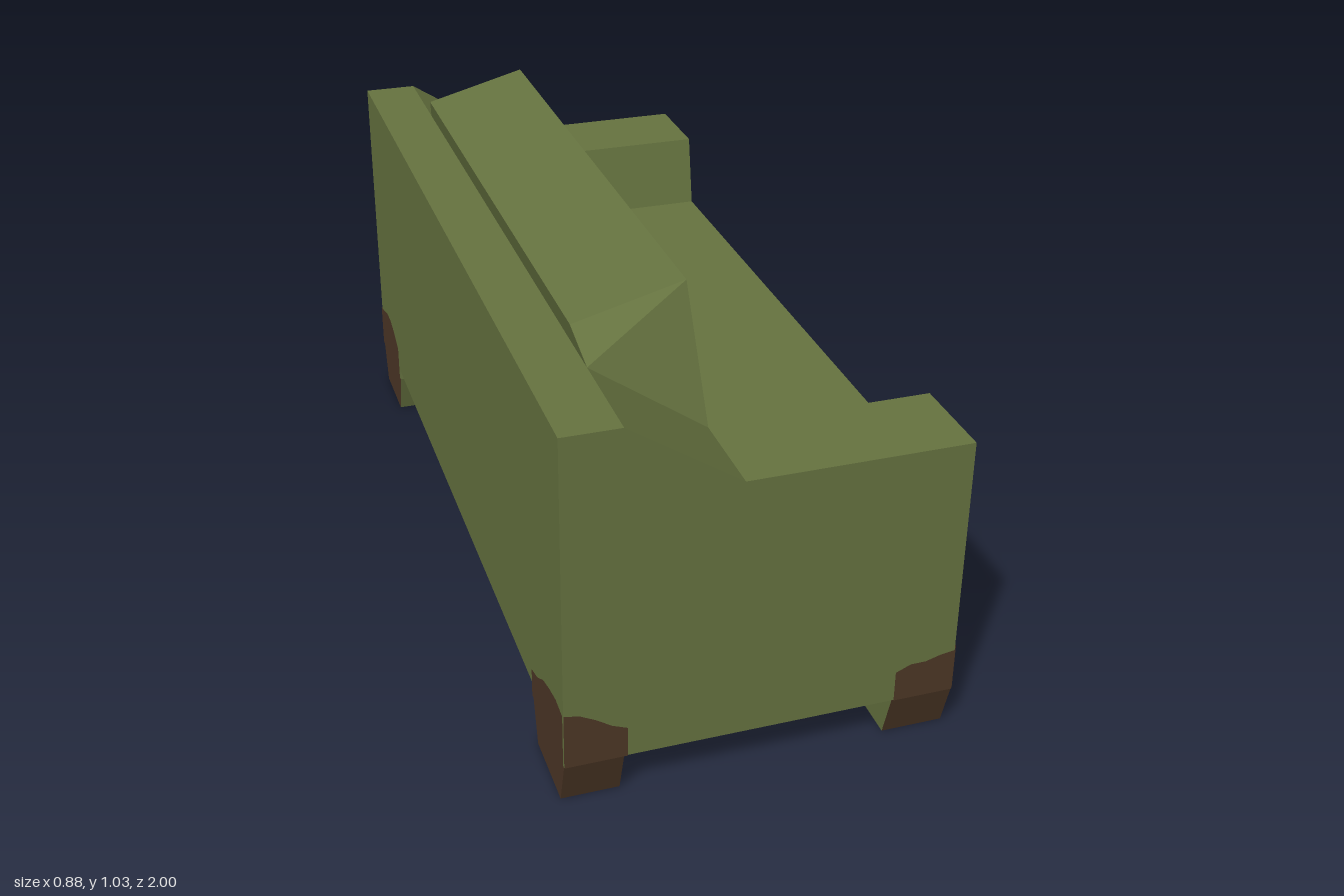
import * as THREE from 'three';
import { ConvexGeometry } from 'three/addons/geometries/ConvexGeometry.js';

const HALF_X = 0.44, INNER_Z = 0.75, LEG_TOP = 0.11, SEAT = 0.555, ARM = 0.735, BACK_X = -0.06;

export function createModel() {
  const model = new THREE.Group();
  const green = new THREE.MeshStandardMaterial({ color: 0x667340 });
  const brown = new THREE.MeshStandardMaterial({ color: 0x4d3726 });
  const paint = new THREE.MeshStandardMaterial({ color: 0x4d3726, side: THREE.DoubleSide });
  green.name = 'green upholstery';
  brown.name = 'brown leg';
  paint.name = 'brown patch';

  const add = (name, geometry, material = green) => {
    const mesh = new THREE.Mesh(geometry, material);
    mesh.name = name;
    model.add(mesh);
    return mesh;
  };

  // Side profile (x, y) extruded evenly along z
  const prism = (points, halfZ) => {
    const shape = new THREE.Shape(points.map(([x, y]) => new THREE.Vector2(x, y)));
    return new THREE.ExtrudeGeometry(shape, { depth: 2 * halfZ, bevelEnabled: false }).translate(0, 0, -halfZ);
  };

  // Box whose z range differs between its bottom and its top; side = +1 or -1
  const taperedBox = (x0, x1, y0, y1, bottomZ, topZ, side) => {
    const geo = new THREE.BoxGeometry(1, 1, 1).toNonIndexed();
    const p = geo.attributes.position;
    for (let i = 0; i < p.count; i++) {
      const high = p.getY(i) > 0;
      const [inner, outer] = high ? topZ : bottomZ;
      const isOuter = p.getZ(i) * side > 0;
      p.setXYZ(i, p.getX(i) > 0 ? x1 : x0, high ? y1 : y0, side * (isOuter ? outer : inner));
    }
    geo.computeVertexNormals();
    return geo;
  };

  // Seat block, with an underside that rises towards the front
  add('seat', prism([[-HALF_X, 0.14], [HALF_X, 0.19], [HALF_X, SEAT], [-HALF_X, SEAT]], INNER_Z));

  // Rear frame running the whole length
  add('backFrame', prism([[-HALF_X, SEAT], [BACK_X, SEAT], [BACK_X, ARM], [-0.31, 0.9], [-HALF_X, 0.9]], 1));

  // Back cushion, mirrored in z
  const half = [
    [BACK_X, SEAT, 0.75], [BACK_X, ARM, 0.78], [BACK_X, 0.97, 0.5],
    [-0.078, 1.03, 0.68], [-0.325, 0.965, 0.68], [-0.31, 0.9, 0.75],
  ];
  add('backCushion', new ConvexGeometry(
    half.flatMap(([x, y, z]) => [new THREE.Vector3(x, y, z), new THREE.Vector3(x, y, -z)])));

  // Ends with armrests
  for (const side of [1, -1]) {
    add('endPanel', taperedBox(-HALF_X, HALF_X, LEG_TOP, SEAT, [INNER_Z, 1], [INNER_Z, 1], side));
    add('armrest', taperedBox(BACK_X, HALF_X, SEAT, ARM, [INNER_Z, 1], [0.783, 1], side));
  }

  // Uneven brown patch above a leg: heights spaced evenly from the corner inwards
  const patch = (heights, width, place) => {
    const top = heights.map((h, i) => new THREE.Vector2(width * i / (heights.length - 1), h));
    const shape = new THREE.Shape([new THREE.Vector2(0, LEG_TOP), ...top, new THREE.Vector2(width, LEG_TOP)]);
    const geo = new THREE.ShapeGeometry(shape);
    const p = geo.attributes.position;
    for (let i = 0; i < p.count; i++) p.setXYZ(i, ...place(p.getX(i), p.getY(i)));
    geo.computeVertexNormals();
    return geo;
  };

  // Legs: brown outside, green on the faces turned inwards
  const corners = [
    { sx: 1, sz: 1, alongZ: [0.225, 0.225, 0.215, 0.205, 0.195, 0.19], alongX: [0.215, 0.21, 0.2, 0.2, 0.185] },
    { sx: 1, sz: -1, alongZ: [0.26, 0.25, 0.252, 0.265, 0.24, 0.245, 0.222], alongX: [0.26, 0.25, 0.22, 0.21, 0.185] },
    { sx: -1, sz: 1, alongZ: [0.245, 0.25, 0.24, 0.225, 0.195, 0.18], alongX: [0.245, 0.238, 0.22, 0.197, 0.183] },
    { sx: -1, sz: -1, alongZ: [0.225, 0.235, 0.25, 0.25, 0.235, 0.21], alongX: [0.225, 0.21, 0.205, 0.205, 0.18] },
  ];
  for (const { sx, sz, alongZ, alongX } of corners) {
    const [x0, x1] = sx > 0 ? [0.298, HALF_X] : [-HALF_X, -0.31];
    const faces = [
      sx > 0 ? brown : green, sx > 0 ? green : brown, green, brown,
      sz > 0 ? brown : green, sz > 0 ? green : brown,
    ];
    add('leg', taperedBox(x0, x1, 0, LEG_TOP, [0.782, 0.967], [INNER_Z, 1], sz), faces);
    add('legPatchLong', patch(alongZ, 0.25, (u, y) => [sx * (HALF_X + 0.002), y, sz * (1 - u)]), paint);
    add('legPatchEnd', patch(alongX, 0.138, (u, y) => [sx * (HALF_X - u), y, sz * 1.002]), paint);
  }

  return model;
}
